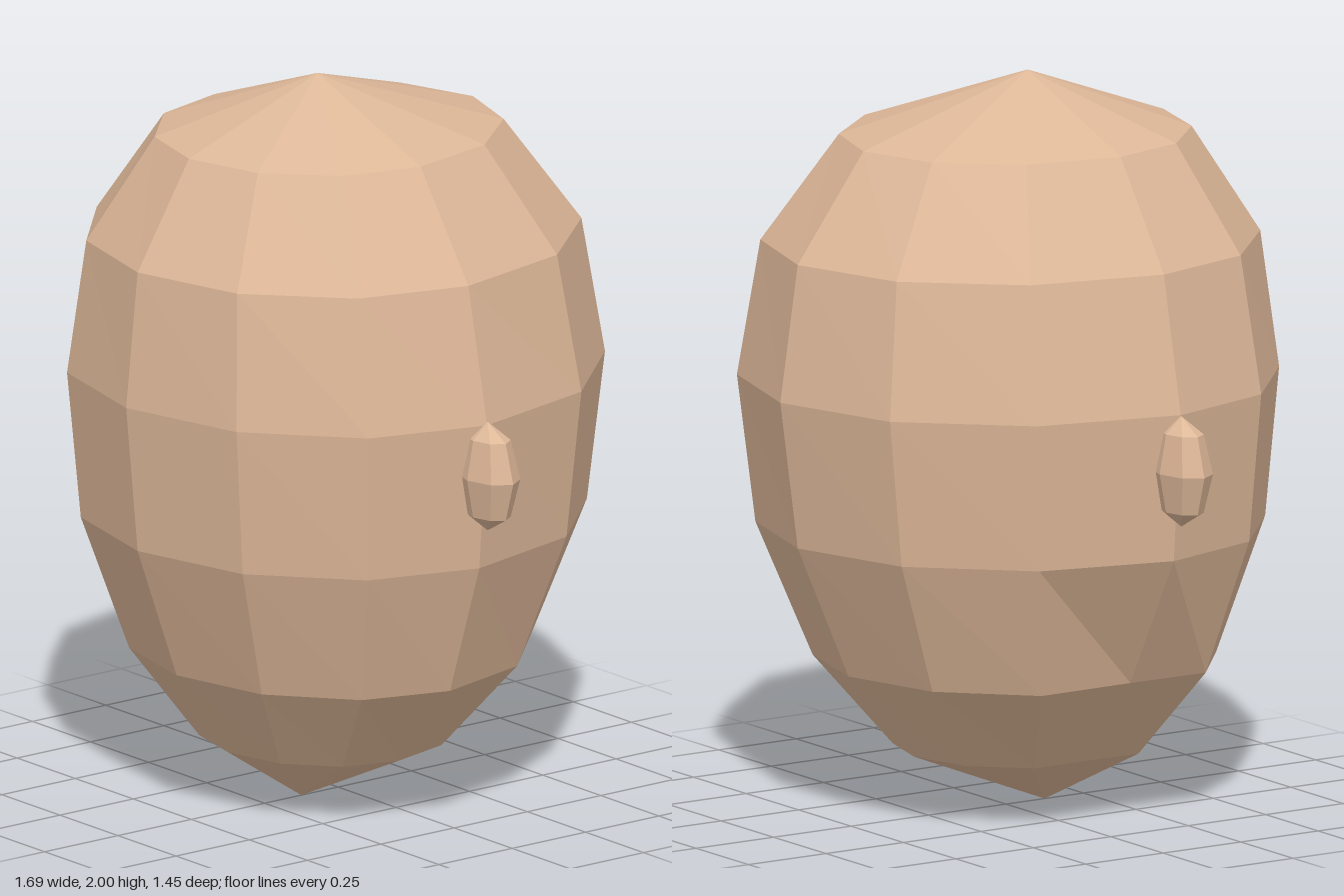
import * as THREE from 'three';

const SEGMENTS = 12;
const CENTRE_Z = 0.07;

// Each ring: [height, half width, reach to the front, reach to the back, half width at the right seam]
const RINGS = [
  [0.165, 0.349, 0.306, 0.366, 0.30],
  [0.41, 0.571, 0.48, 0.578, 0.49],
  [0.78, 0.697, 0.613, 0.742, 0.697],
  [1.185, 0.73, 0.652, 0.798, 0.73],
  [1.555, 0.65, 0.613, 0.742, 0.65],
  [1.84, 0.444, 0.438, 0.53, 0.444],
];

// Faceted egg-shaped head, lofted from rings between a chin tip and a crown tip
function headGeometry() {
  const positions = [];
  const index = [];
  for (const [y, width, front, back, seam] of RINGS) {
    for (let i = 0; i < SEGMENTS; i++) {
      const a = (i / SEGMENTS) * Math.PI * 2;
      const s = Math.sin(a);
      const w = i === SEGMENTS / 2 ? seam : width;
      positions.push(w * Math.cos(a), y, CENTRE_Z + s * (s > 0 ? front : back));
    }
  }
  const chin = RINGS.length * SEGMENTS;
  const crown = chin + 1;
  positions.push(0, 0, 0.125, 0, 2, CENTRE_Z);

  const last = (RINGS.length - 1) * SEGMENTS;
  for (let i = 0; i < SEGMENTS; i++) {
    const j = (i + 1) % SEGMENTS;
    index.push(chin, i, j, crown, last + j, last + i);
    for (let r = 0; r < last; r += SEGMENTS) {
      const a = r + i, b = r + j, c = b + SEGMENTS, d = a + SEGMENTS;
      index.push(a, d, c, a, c, b);
    }
  }
  const geometry = new THREE.BufferGeometry();
  geometry.setAttribute('position', new THREE.Float32BufferAttribute(positions, 3));
  geometry.setIndex(index);
  const flat = geometry.toNonIndexed();
  flat.computeVertexNormals();
  return flat;
}

export function createModel() {
  const model = new THREE.Group();
  model.name = 'head';
  const skin = new THREE.MeshStandardMaterial({ color: 0xddb798 });
  skin.name = 'skin';
  skin.flatShading = true;

  const skull = new THREE.Mesh(headGeometry(), skin);
  skull.name = 'skull';
  model.add(skull);

  // Small faceted ears, the right one slightly lower
  const earGeometry = new THREE.SphereGeometry(1, 8, 4).scale(0.11, 0.151, 0.07);
  for (const [name, x, y] of [['leftEar', 0.733, 1.045], ['rightEar', -0.733, 1.032]]) {
    const ear = new THREE.Mesh(earGeometry, skin);
    ear.name = name;
    ear.position.set(x, y, CENTRE_Z);
    model.add(ear);
  }
  return model;
}
